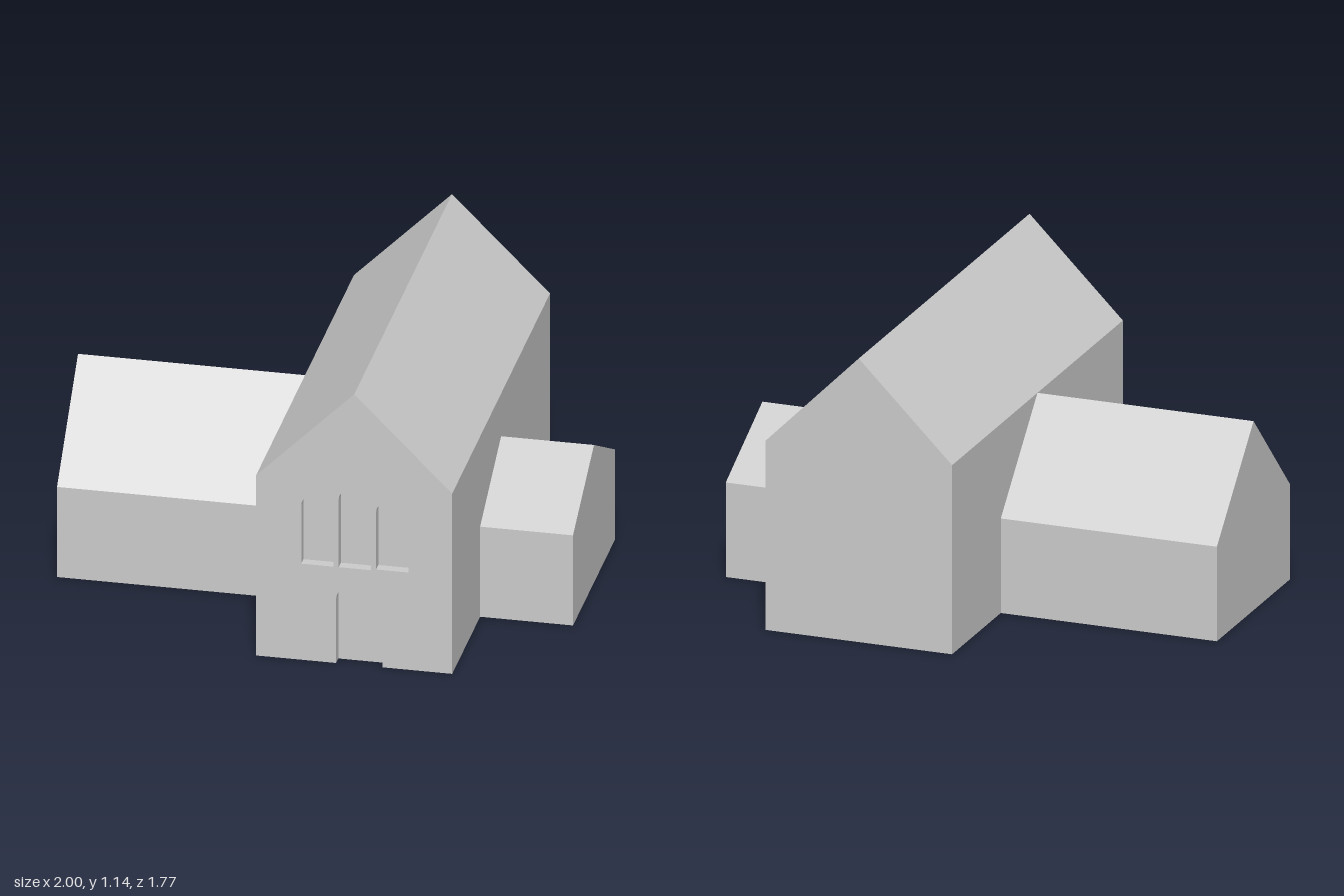
import * as THREE from 'three';

const material = new THREE.MeshStandardMaterial({ color: 0xcccccc, flatShading: true });
const vectors = (pts) => pts.map(([x, y]) => new THREE.Vector2(x, y));

// Nave: x range, half length, eave and ridge heights; depth of the recesses
const X0 = -0.12, X1 = 0.64, HALF = 0.885, EAVE = 0.76, RIDGE = 1.14, DEPTH = 0.04;

// Round-headed opening, counter-clockwise from the bottom left corner
function archedOpening(x0, x1, bottom, spring, top) {
  const pts = [[x0, bottom], [x1, bottom]];
  const r = (x1 - x0) / 2, steps = 14;
  for (let i = 0; i <= steps; i++) {
    const a = (Math.PI * i) / steps;
    pts.push([x0 + r + r * Math.cos(a), spring + (top - spring) * Math.sin(a)]);
  }
  return pts;
}

// Same outline walked clockwise from the same corner
const clockwise = ([first, ...rest]) => [first, ...rest.reverse()];

// Strip of walls along an outline between two z values; faces outward when counter-clockwise
function sweep(pts, z0, z1, closed) {
  const pos = [];
  const count = closed ? pts.length : pts.length - 1;
  for (let i = 0; i < count; i++) {
    const [ax, ay] = pts[i], [bx, by] = pts[(i + 1) % pts.length];
    pos.push(ax, ay, z0, bx, by, z0, bx, by, z1, ax, ay, z0, bx, by, z1, ax, ay, z1);
  }
  const geo = new THREE.BufferGeometry();
  geo.setAttribute('position', new THREE.Float32BufferAttribute(pos, 3));
  geo.computeVertexNormals();
  return geo;
}

// Flat face with optional holes, facing +z
function face(pts, z = 0, holes = []) {
  const shape = new THREE.Shape(vectors(pts));
  shape.holes = holes.map((h) => new THREE.Path(vectors(h)));
  return new THREE.ShapeGeometry(shape).translate(0, 0, z);
}

function add(parent, name, geometry) {
  const mesh = new THREE.Mesh(geometry, material);
  mesh.name = name;
  parent.add(mesh);
  return mesh;
}

// Gabled side wing running along x
function wing(parent, name, x0, x1, ridge) {
  const section = [[-0.38, 0], [0.38, 0], [0.38, 0.38], [0, ridge], [-0.38, 0.38]];
  const geo = new THREE.ExtrudeGeometry(new THREE.Shape(vectors(section)), { depth: x1 - x0, bevelEnabled: false });
  add(parent, name, geo.rotateY(Math.PI / 2).translate(x0, 0, 0));
}

export function createModel() {
  const model = new THREE.Group();
  model.name = 'church';
  const nave = new THREE.Group();
  nave.name = 'nave';
  model.add(nave);

  const door = archedOpening(0.19, 0.37, 0, 0.27, 0.335);
  const windows = [
    archedOpening(0.055, 0.18, 0.405, 0.65, 0.705),
    archedOpening(0.2, 0.325, 0.405, 0.69, 0.742),
    archedOpening(0.345, 0.47, 0.41, 0.65, 0.705),
  ];
  const doorPath = clockwise(door);
  const mid = (X0 + X1) / 2;
  const roofLine = [[X1, 0], [X1, EAVE], [mid, RIDGE], [X0, EAVE], [X0, 0]];

  // Side walls and roof slopes, then both gable walls
  add(nave, 'wallsAndRoof', sweep(roofLine, -HALF, HALF, false));
  add(nave, 'frontGable', face([[X0, 0], ...doorPath, ...roofLine.slice(0, 4)], HALF, windows));
  const back = add(nave, 'backGable', face(roofLine.map(([x, y]) => [-x, y]).reverse(), HALF));
  back.rotation.y = Math.PI;

  // Recessed door and windows
  add(nave, 'doorReveal', sweep(doorPath, HALF - DEPTH, HALF, false));
  add(nave, 'doorPanel', face(door, HALF - DEPTH));
  for (const w of windows) {
    add(nave, 'windowReveal', sweep(clockwise(w), HALF - DEPTH, HALF, true));
    add(nave, 'windowPanel', face(w, HALF - DEPTH));
  }

  // Floor with the door notch and a narrow slot under the middle
  const [d0, d1, s] = [0.19, 0.37, 0.02];
  const inner = HALF - DEPTH;
  const floor = [[X0, -HALF], [X1, -HALF], [X1, HALF], [d1, HALF], [d1, inner], [d0, inner], [d0, HALF], [X0, HALF]];
  const slot = [[d0, -s], [d1, -s], [d1, s], [d0, s]];
  add(nave, 'floor', face(floor, 0, [slot]).rotateX(Math.PI / 2));
  add(nave, 'slotReveal', sweep(doorPath, -s, s, false));
  add(nave, 'slotBack', face(door, -s));
  const slotFront = add(nave, 'slotFront', face(door.map(([x, y]) => [-x, y]).reverse(), -s));
  slotFront.rotation.y = Math.PI;

  wing(model, 'rightWing', -1, X0, 0.76);
  wing(model, 'leftWing', X1, 1, 0.58);
  return model;
}
